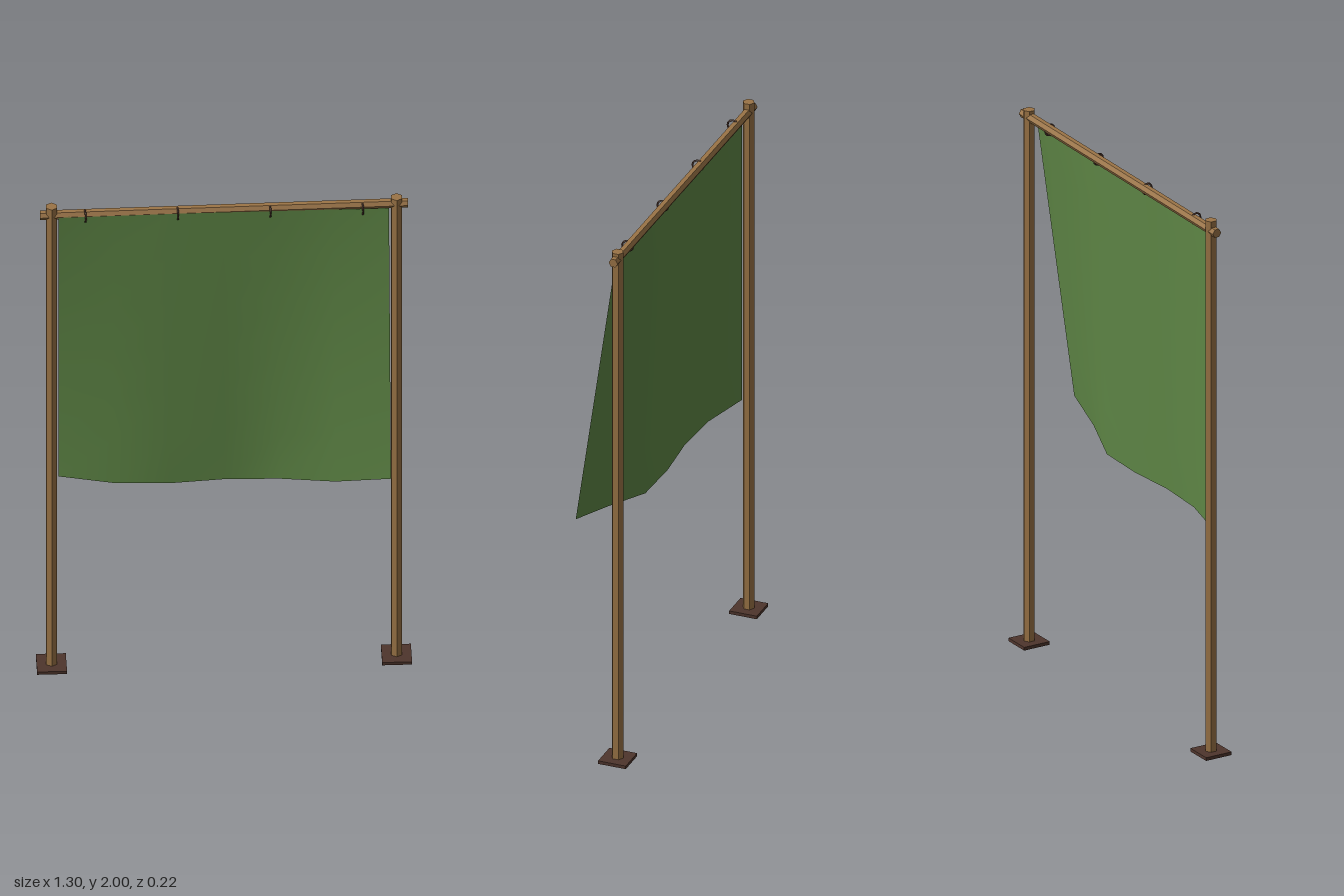
import * as THREE from 'three';

const wood = new THREE.MeshStandardMaterial({ color: 0x9b7446 });
wood.name = 'wood';
const darkWood = new THREE.MeshStandardMaterial({ color: 0x4e352c });
darkWood.name = 'dark wood';
const cloth = new THREE.MeshStandardMaterial({ color: 0x5f8746, side: THREE.DoubleSide });
cloth.name = 'green cloth';

const POST_X = 0.6, POST_Z = -0.058, BAR_Y = 1.968;

function add(group, name, geometry, material, x, y, z) {
  const mesh = new THREE.Mesh(geometry, material);
  mesh.name = name;
  mesh.position.set(x, y, z);
  group.add(mesh);
  return mesh;
}

// Six-sided pole with flat faces
function pole(radius, length) {
  return new THREE.CylinderGeometry(radius, radius, length, 6).toNonIndexed();
}

// Hanging cloth: straight top edge, billowing hem
function clothGeometry() {
  const hemZ = [-0.042, 0.005, 0.015, 0.0, 0.006, 0.07, 0.11];
  const hemY = [0.835, 0.835, 0.835, 0.835, 0.835, 0.864, 0.9];
  const rows = 6;
  const geo = new THREE.PlaneGeometry(1.15, 1, 6, rows);
  const pos = geo.attributes.position;
  for (let r = 0; r <= rows; r++) {
    for (let c = 0; c <= 6; c++) {
      const t = r / rows;
      pos.setXYZ(r * 7 + c, -0.577 + c * 1.15 / 6,
        THREE.MathUtils.lerp(1.965, hemY[c], t), THREE.MathUtils.lerp(-0.042, hemZ[c], t));
    }
  }
  geo.computeVertexNormals();
  return geo;
}

export function createModel() {
  const model = new THREE.Group();
  model.name = 'clothHanger';

  // Posts standing on square feet
  for (const [side, name] of [[1, 'left'], [-1, 'right']]) {
    const post = pole(0.0215, 1.99);
    post.computeVertexNormals();
    add(model, name + 'Post', post, wood, side * POST_X, 1.005, POST_Z);
    add(model, name + 'Foot', new THREE.BoxGeometry(0.104, 0.012, 0.104), darkWood, side * POST_X, 0.006, POST_Z);
  }

  // Crossbar, slightly out of level
  const barGeo = pole(0.017, 1.28);
  barGeo.computeVertexNormals();
  const bar = add(model, 'crossbar', barGeo, wood, 0, BAR_Y, POST_Z);
  bar.rotation.z = -Math.PI / 2 + 0.009;

  // Rings tying the cloth to the bar
  for (let i = 0; i < 4; i++) {
    const ring = add(model, 'ring' + (i + 1), new THREE.TorusGeometry(0.02, 0.0035, 6, 12), darkWood,
      -0.483 + i * 0.3215, 1.962, -0.047);
    ring.rotation.y = Math.PI / 2 + 0.06;
  }

  add(model, 'cloth', clothGeometry(), cloth, 0, 0, 0);
  return model;
}
